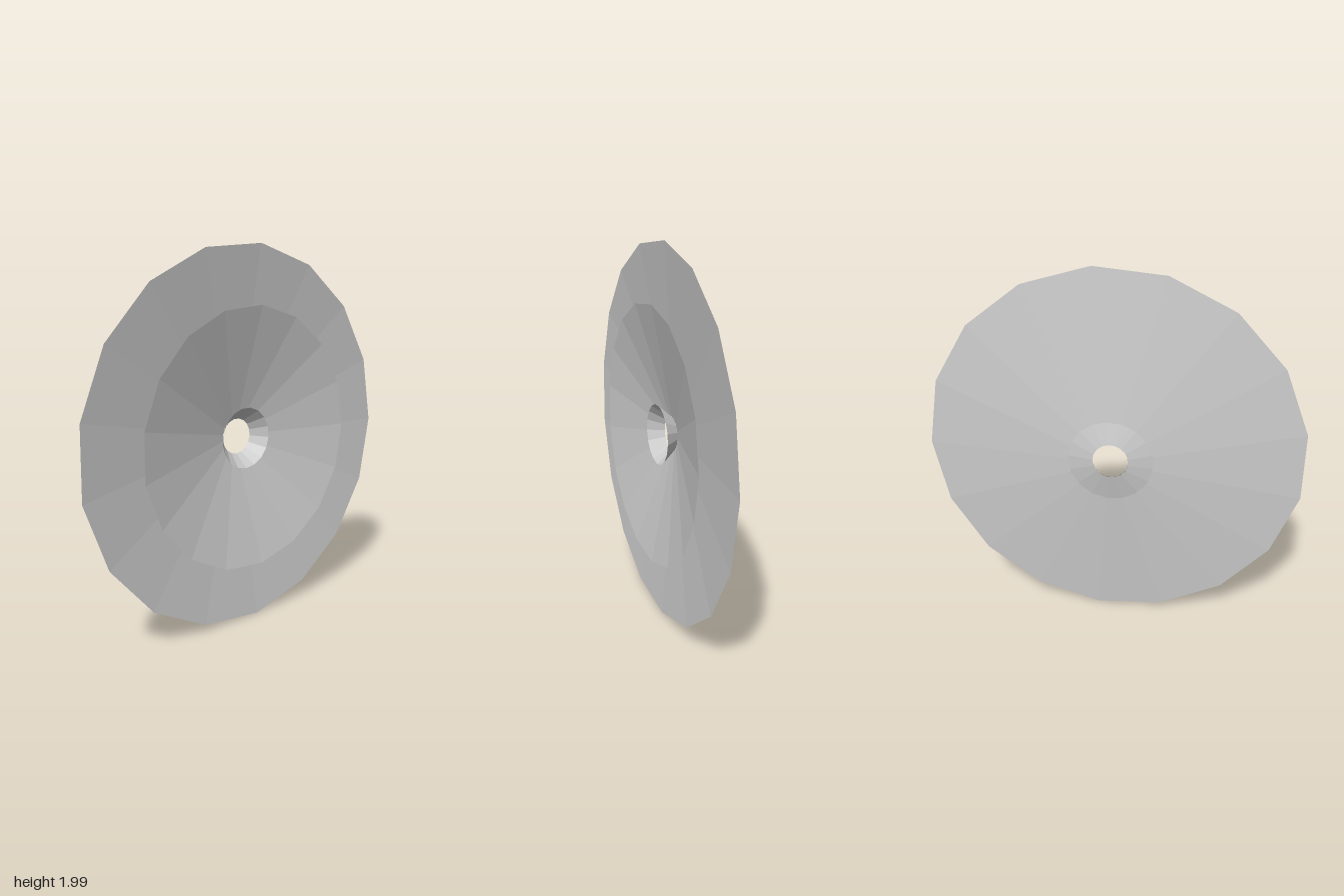
import * as THREE from 'three';

const SIDES = 17;
const BACK_Z = -0.066; // all three cones end on this plane

// Thin open cone along z, from a wide front rim to a narrow back rim
function makeCone(name, frontRadius, backRadius, frontZ, phaseDegrees, material) {
  const depth = frontZ - BACK_Z;
  const start = THREE.MathUtils.degToRad(phaseDegrees + 90);
  const geometry = new THREE.CylinderGeometry(frontRadius, backRadius, depth, SIDES, 1, true, start);
  geometry.rotateX(Math.PI / 2);
  geometry.translate(0, 0, (frontZ + BACK_Z) / 2);
  const mesh = new THREE.Mesh(geometry, material);
  mesh.name = name;
  return mesh;
}

export function createModel() {
  const material = new THREE.MeshStandardMaterial({
    color: 0xcccccc, flatShading: true, side: THREE.DoubleSide,
  });
  const model = new THREE.Group();
  model.name = 'dishes';

  // Nested cones: wide shallow plate, dish in front of it, funnel around the hole
  model.add(
    makeCone('outerPlate', 0.999, 0.225, 0.013, -0.7, material),
    makeCone('innerDish', 0.69, 0.095, 0.066, 0, material),
    makeCone('hubFunnel', 0.161, 0.094, 0.012, 15.9, material),
  );

  // The odd side count puts the axis slightly off the middle of the bounds
  model.position.set(-0.007, 1.002, 0);
  return model;
}
